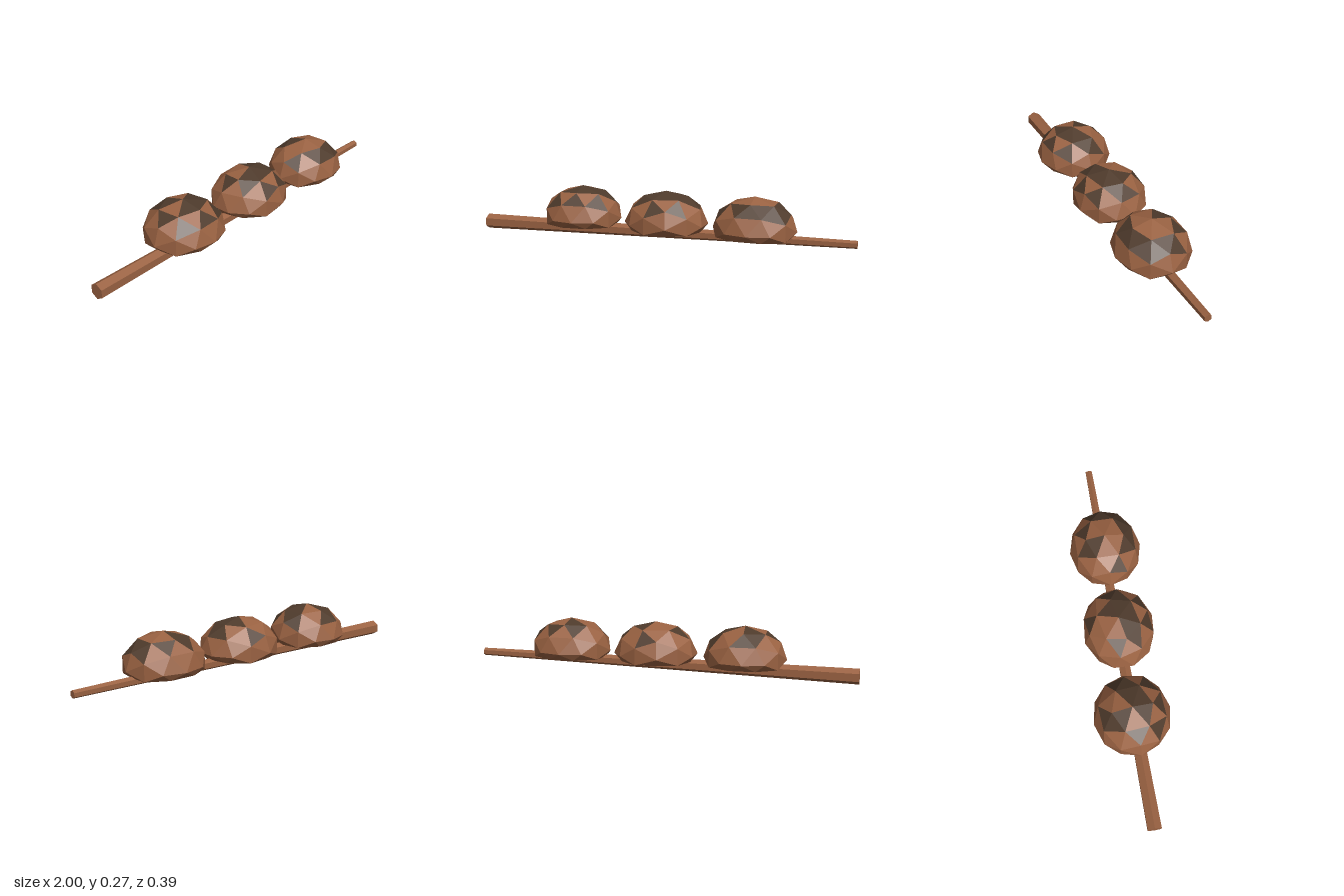
import * as THREE from 'three';

const brown = new THREE.MeshStandardMaterial({ color: 0x9a6242 });
brown.name = 'toastedBrown';
const dark = new THREE.MeshStandardMaterial({ color: 0x4f3b2c });
dark.name = 'charredBrown';

// Tapered six-sided skewer whose centre line drifts from one end to the other
function makeSkewer() {
  const geo = new THREE.CylinderGeometry(0.02, 0.04, 2, 6).toNonIndexed();
  geo.rotateY(Math.PI / 2);
  geo.rotateZ(-Math.PI / 2);
  const p = geo.attributes.position;
  for (let i = 0; i < p.count; i++) {
    const x = p.getX(i);
    p.setY(i, p.getY(i) + 0.0515 + 0.0115 * x);
    p.setZ(i, p.getZ(i) + 0.005 - 0.015 * x);
  }
  geo.computeVertexNormals();
  const mesh = new THREE.Mesh(geo, brown);
  mesh.name = 'skewer';
  return mesh;
}

// Faceted dome with a flat base; each spot (x, z in unit radius) chars the nearest upper facet
function makeDome({ name, x, z, rx, rz, turn, spots }) {
  const geo = new THREE.IcosahedronGeometry(1, 1);
  geo.rotateY(turn);
  const p = geo.attributes.position;
  const faces = p.count / 3;
  const centres = [];
  for (let f = 0; f < faces; f++) {
    const c = new THREE.Vector3();
    for (let k = 0; k < 3; k++) c.add(new THREE.Vector3().fromBufferAttribute(p, f * 3 + k));
    centres.push(c.divideScalar(3));
  }
  const charred = new Set();
  for (const [sx, sz] of spots) {
    let best = -1;
    let bestDistance = Infinity;
    centres.forEach((c, f) => {
      const d = Math.hypot(c.x - sx, c.z - sz);
      if (c.y > 0.2 && d < bestDistance) {
        best = f;
        bestDistance = d;
      }
    });
    charred.add(best);
  }

  // Squash the ball and press its underside flat
  for (let i = 0; i < p.count; i++) {
    const y = Math.max(p.getY(i), -0.21);
    p.setXYZ(i, p.getX(i) * rx, y * 0.165, p.getZ(i) * rz);
  }
  geo.computeVertexNormals();
  geo.clearGroups();
  for (let f = 0; f < faces; f++) geo.addGroup(f * 3, 3, charred.has(f) ? 1 : 0);

  const mesh = new THREE.Mesh(geo, [brown, dark]);
  mesh.name = name;
  mesh.position.set(x, 0.105, z);
  return mesh;
}

const domes = [
  {
    name: 'rightDome', x: -0.435, z: 0, rx: 0.211, rz: 0.197, turn: Math.PI / 2 + 0.08,
    spots: [[-0.35, -0.5], [-0.15, -0.6], [-0.25, -0.25], [-0.5, -0.1], [0.3, -0.2], [0.55, -0.3],
      [0.6, 0], [0.4, 0.25], [-0.25, 0.4], [-0.4, 0.6], [0.15, 0.6], [0.5, 0.55]],
  },
  {
    name: 'middleDome', x: 0.033, z: 0.006, rx: 0.218, rz: 0.19, turn: 0.25,
    spots: [[0.3, -0.3], [0.55, -0.2], [0.65, 0.1], [0.4, 0.2], [0.15, 0.4], [-0.1, 0.55],
      [-0.45, 0.45], [0.4, 0.6], [-0.6, -0.1], [-0.3, 0.2], [0.1, -0.7]],
  },
  {
    name: 'leftDome', x: 0.497, z: 0.006, rx: 0.215, rz: 0.19, turn: Math.PI / 2,
    spots: [[0.62, 0], [0.72, 0.27], [0.72, -0.27], [0.54, 0.54], [-0.4, -0.5], [-0.2, -0.35],
      [-0.6, 0.25], [-0.3, 0.6], [0, 0.6], [0.2, 0.45], [0.3, -0.4]],
  },
];

export function createModel() {
  const model = new THREE.Group();
  model.name = 'skeweredDomes';
  model.add(makeSkewer());
  for (const dome of domes) model.add(makeDome(dome));
  return model;
}
